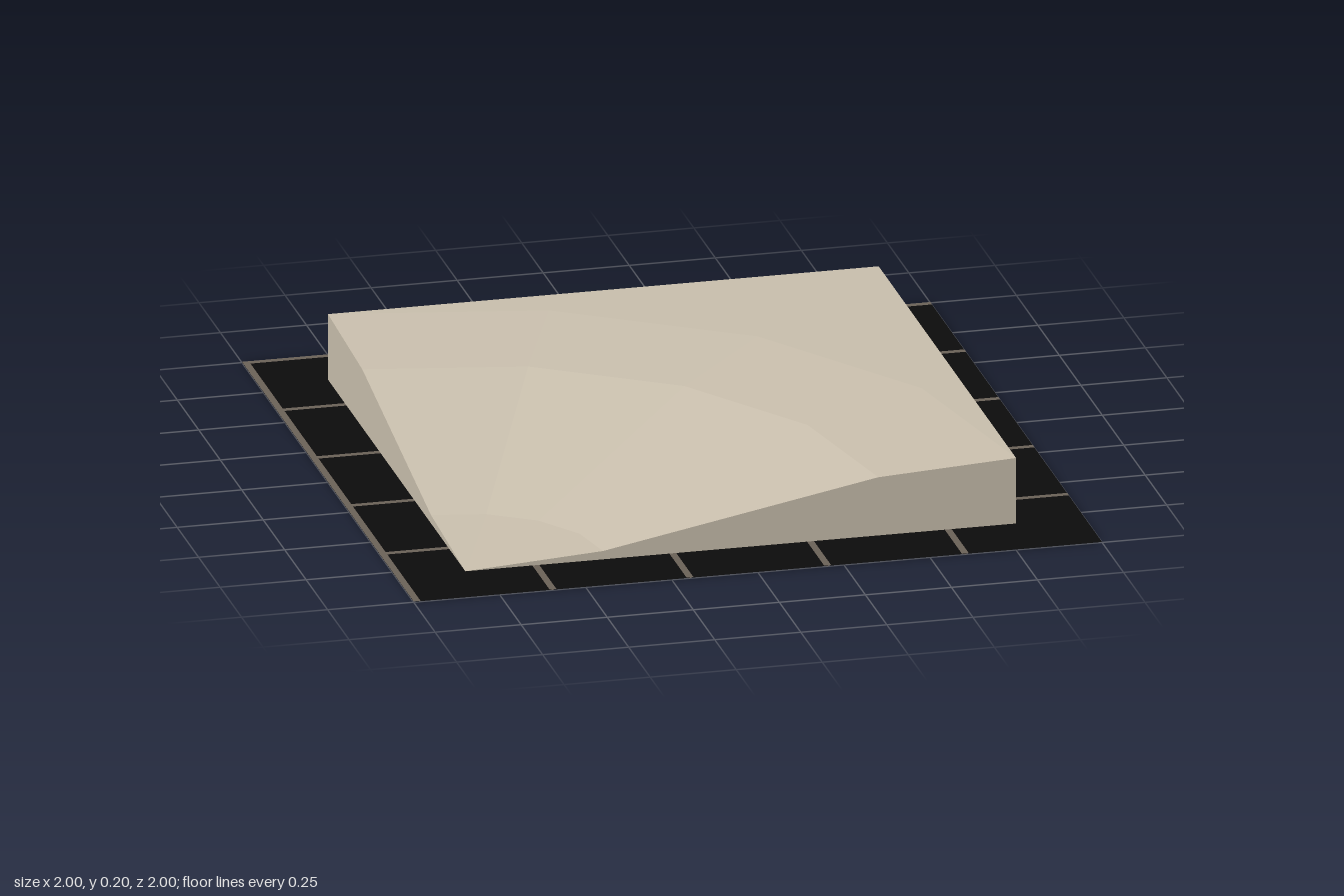
import * as THREE from 'three';

const HALF = 0.8;          // half width of the tile
const FLOOR = 0.003;       // tile rests just above the base sheet
// Slope profile: [distance from the low corner, height]
const PROFILE = [[0, 0], [0.4, 0.025], [1.2, 0.175], [1.6, 0.197]];
const SECTORS = 4;

const material = (name, color) => {
  const m = new THREE.MeshStandardMaterial({ color, side: THREE.DoubleSide });
  m.name = name;
  return m;
};

export function createModel() {
  const sand = material('sand', 0xc9bfad);
  sand.flatShading = true;
  const lilac = material('lilac', 0xafa4ca);
  const black = material('black', 0x0c0c0c);
  const brown = material('gridBrown', 0x6b6258);

  const model = new THREE.Group();
  model.name = 'terrainTile';
  const add = (name, geometry, mat, x = 0, y = 0, z = 0, parent = model) => {
    const mesh = new THREE.Mesh(geometry, mat);
    mesh.name = name;
    mesh.position.set(x, y, z);
    parent.add(mesh);
    return mesh;
  };
  const flat = (w, d) => new THREE.PlaneGeometry(w, d).rotateX(-Math.PI / 2);

  // Base sheet with its grid
  add('baseSheet', flat(2, 2), black, 0, 0.0015, 0);
  const grid = new THREE.Group();
  grid.name = 'baseGrid';
  model.add(grid);
  const lines = [-0.99, -0.595, -0.197, 0.203, 0.603];
  for (const p of lines) {
    add('gridLineAlongZ', flat(0.02, 2), brown, p, 0.0025, 0, grid);
    add('gridLineAlongX', flat(2, 0.02), brown, 0, 0.0025, p, grid);
  }
  // Fainter lines and crossings on the underside
  for (const p of lines.slice(1)) {
    add('underLineAlongZ', flat(0.006, 2), brown, p, 0, 0, grid);
    add('underLineAlongX', flat(2, 0.006), brown, 0, 0, p, grid);
    for (const q of lines.slice(1)) add('underCrossing', flat(0.04, 0.04), brown, p, 0, q, grid);
  }

  // Top surface: faceted rings around the low corner, then out to the square edge
  const point = (ring, sector) => {
    const a = (sector / SECTORS) * Math.PI / 2;
    const c = Math.cos(a), s = Math.sin(a);
    const outer = ring === PROFILE.length;
    const r = outer ? 2 * HALF / Math.max(c, s) : PROFILE[ring][0];
    const y = PROFILE[Math.min(ring, PROFILE.length - 1)][1];
    return [-HALF + r * c, FLOOR + y, HALF - r * s];
  };
  const positions = [];
  for (let ring = 0; ring < PROFILE.length; ring++) {
    for (let k = 0; k < SECTORS; k++) {
      const a = point(ring, k), b = point(ring + 1, k);
      const c = point(ring + 1, k + 1), d = point(ring, k + 1);
      positions.push(...a, ...b, ...c);
      if (ring > 0) positions.push(...a, ...c, ...d);
    }
  }
  const top = new THREE.BufferGeometry();
  top.setAttribute('position', new THREE.Float32BufferAttribute(positions, 3));
  top.computeVertexNormals();
  add('slopeSurface', top, sand);

  // Sloping walls on the two sides that meet at the low corner
  const slopeWall = (dir) => {
    const shape = new THREE.Shape();
    shape.moveTo(-HALF * dir, 0);
    for (const [r, y] of PROFILE.slice(1)) shape.lineTo((r - HALF) * dir, y);
    shape.lineTo(HALF * dir, 0);
    return new THREE.ShapeGeometry(shape);
  };
  add('frontWall', slopeWall(1), sand, 0, FLOOR, HALF);
  add('rightWall', slopeWall(-1), sand, -HALF, FLOOR, 0).rotation.y = -Math.PI / 2;

  // Full-height walls on the two high sides
  const tall = new THREE.PlaneGeometry(2 * HALF, 0.197);
  add('leftWall', tall, lilac, HALF, FLOOR + 0.0985, 0).rotation.y = Math.PI / 2;
  add('backWall', tall, lilac, 0, FLOOR + 0.0985, -HALF).rotation.y = Math.PI;

  return model;
}
